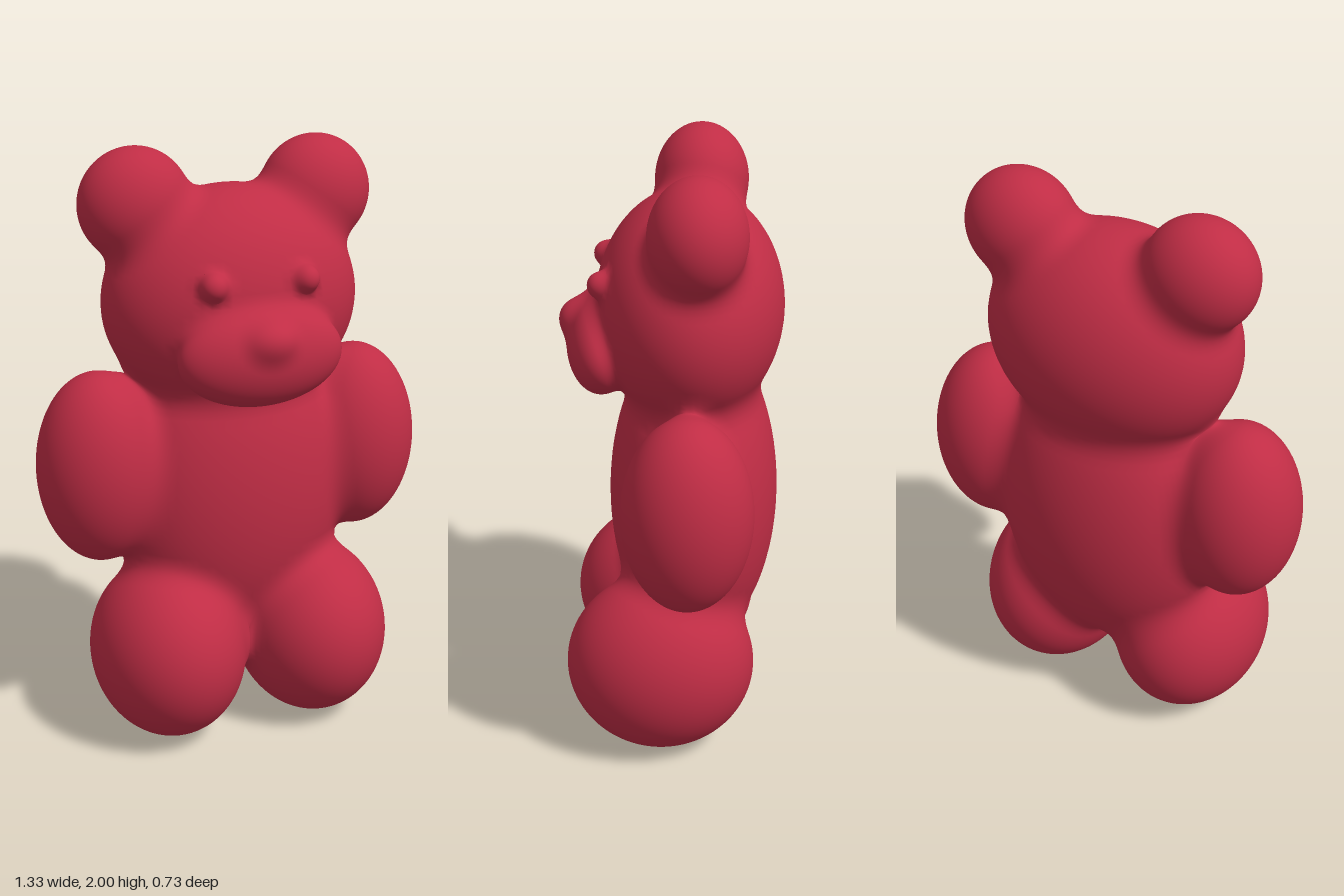
import * as THREE from 'three';

// Each part: name, centre, radii, blend width, mirrored to the other side or not
const PARTS = [
  ['body', [0, 0.83, -0.07], [0.4, 0.56, 0.28], 0.07, false],
  ['head', [0, 1.49, -0.055], [0.43, 0.375, 0.305], 0.07, false],
  ['Arm', [0.455, 0.955, -0.06], [0.21, 0.325, 0.21], 0.07, true],
  ['Leg', [0.26, 0.305, 0.033], [0.26, 0.305, 0.313], 0.07, true],
  ['Ear', [0.31, 1.815, -0.085], [0.185, 0.185, 0.155], 0.07, true],
  ['muzzle', [0, 1.37, 0.225], [0.275, 0.165, 0.12], 0.04, false],
  ['Eye', [0.155, 1.605, 0.222], [0.042, 0.042, 0.042], 0.035, true],
  ['nose', [0, 1.44, 0.32], [0.06, 0.045, 0.045], 0.06, false],
];

const blobs = [];
for (const [name, c, r, blend, mirrored] of PARTS) {
  for (const side of mirrored ? [1, -1] : [0]) {
    blobs.push({
      name: side ? (side > 0 ? 'left' : 'right') + name : name,
      c: side < 0 ? [-c[0], c[1], c[2]] : c,
      r, blend,
    });
  }
}

// Approximate signed distance to one ellipsoid
function ellipsoid({ c, r }, x, y, z) {
  const a = (x - c[0]) / r[0], b = (y - c[1]) / r[1], d = (z - c[2]) / r[2];
  const k0 = Math.hypot(a, b, d);
  const k1 = Math.hypot(a / r[0], b / r[1], d / r[2]);
  return k1 < 1e-6 ? -Math.min(...r) : k0 * (k0 - 1) / k1;
}

// Smooth union of all the ellipsoids
function field(x, y, z) {
  let d = 10;
  for (const blob of blobs) {
    const e = ellipsoid(blob, x, y, z);
    const h = Math.max(blob.blend - Math.abs(d - e), 0) / blob.blend;
    d = Math.min(d, e) - h * h * blob.blend / 4;
  }
  return d;
}

function gradient(p, out) {
  const e = 0.001;
  return out.set(
    field(p.x + e, p.y, p.z) - field(p.x - e, p.y, p.z),
    field(p.x, p.y + e, p.z) - field(p.x, p.y - e, p.z),
    field(p.x, p.y, p.z + e) - field(p.x, p.y, p.z - e),
  ).normalize();
}

// Ellipsoid whose rim swells into a soft fillet where it meets its neighbours
function blendedBlob(blob) {
  const small = blob.r[0] < 0.1;
  const geometry = new THREE.SphereGeometry(1, small ? 32 : 80, small ? 20 : 54);
  geometry.scale(...blob.r).translate(...blob.c);
  const position = geometry.attributes.position;
  const normal = geometry.attributes.normal;
  const start = new THREE.Vector3(), p = new THREE.Vector3(), n = new THREE.Vector3();
  const limit = blob.blend * 0.45;
  for (let i = 0; i < position.count; i++) {
    start.fromBufferAttribute(position, i);
    p.copy(start);
    // Buried points stay buried; only points near a seam reach the blended skin
    if (field(p.x, p.y, p.z) > -limit) {
      for (let step = 0; step < 4; step++) {
        gradient(p, n);
        p.addScaledVector(n, -field(p.x, p.y, p.z));
      }
      p.sub(start).clampLength(0, limit).add(start);
    }
    gradient(p, n);
    position.setXYZ(i, p.x, p.y, p.z);
    normal.setXYZ(i, n.x, n.y, n.z);
  }
  return geometry;
}

export function createModel() {
  const model = new THREE.Group();
  model.name = 'gummyBear';
  const material = new THREE.MeshStandardMaterial({ color: 0xc02d45 });
  for (const blob of blobs) {
    const mesh = new THREE.Mesh(blendedBlob(blob), material);
    mesh.name = blob.name;
    model.add(mesh);
  }
  return model;
}
